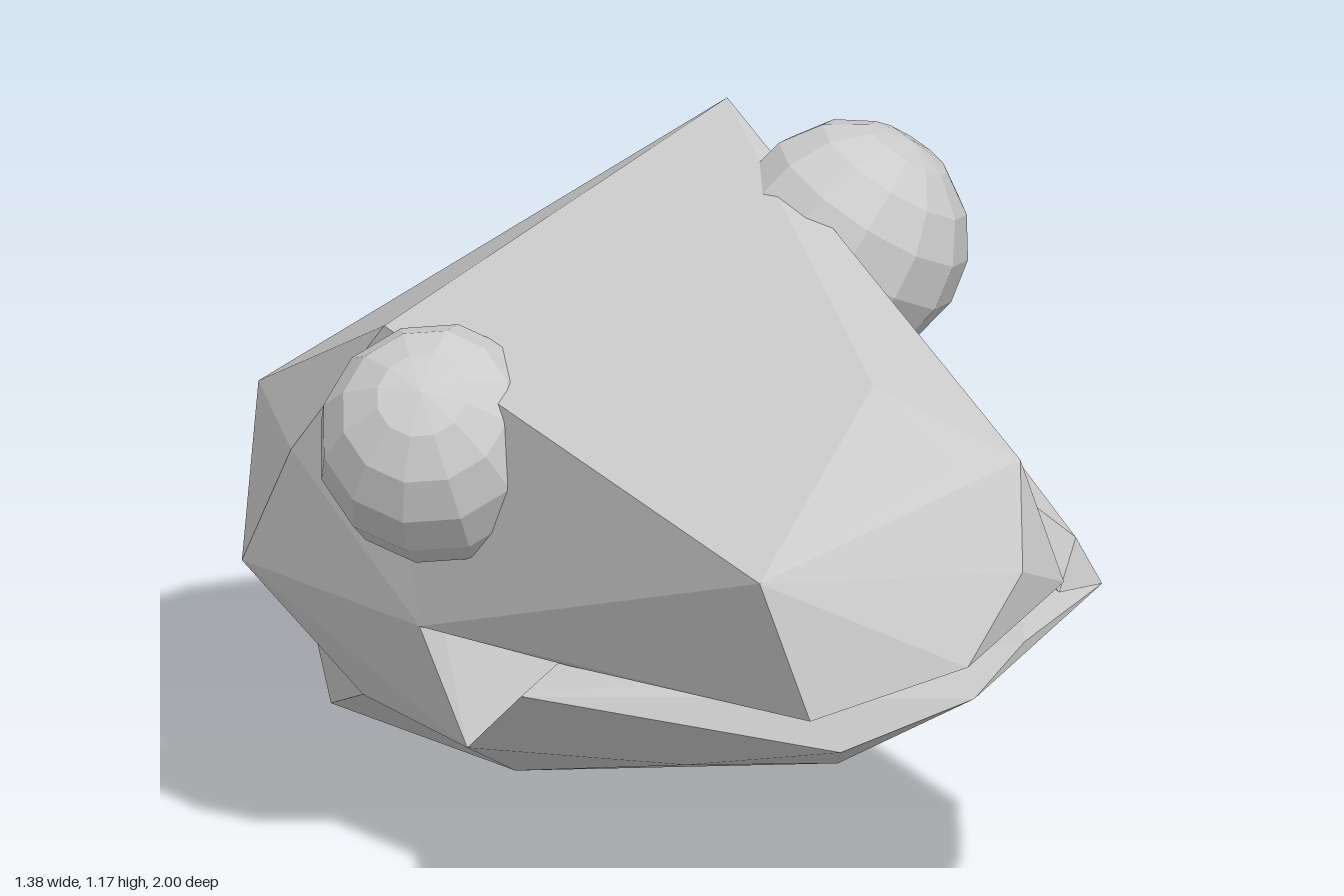
import * as THREE from 'three';
import { ConvexGeometry } from 'three/addons/geometries/ConvexGeometry.js';

const material = new THREE.MeshStandardMaterial({ color: 0xcccccc, flatShading: true });
const v = (x, y, z) => new THREE.Vector3(x, y, z);

// Landmarks of the tilted head, as left (+x) / right (-x) pairs
const brow = [v(0.33, 1.14, -0.11), v(-0.36, 0.9, -0.27)];
const cheek = [v(0.54, 0.69, 0.08), v(-0.42, 0.43, -0.15)];
const mouthCorner = [v(0.28, 0.69, 0.5), v(-0.5, 0.46, 0.22)];
const jawSide = [v(0.23, 0.54, 0.69), v(-0.45, 0.32, 0.42)];
const throat = [v(0.4, 0.32, 0.18), v(-0.17, 0.12, -0.15), v(-0.41, 0.24, -0.06)];

// Landmarks of the neck
const crown = v(0.55, 0.75, -0.64);
const neckSide = v(0.69, 0.48, -0.35);
const neckRight = [v(-0.31, 0.63, -0.5), v(-0.26, 0.4, -0.64)];
const neckEnd = [v(0.24, 0.5, -1), v(0.34, 0.49, -1)];
const neckLow = [v(0.38, 0.22, -0.54), v(-0.3, 0.24, -0.36)];

function faceted(name, points) {
  const mesh = new THREE.Mesh(new ConvexGeometry(points), material);
  mesh.name = name;
  return mesh;
}

// Low-poly eyeball with its pole turned outwards
function eye(name, centre, tilt) {
  const mesh = new THREE.Mesh(new THREE.SphereGeometry(0.195, 12, 8), material);
  mesh.name = name;
  mesh.position.copy(centre);
  mesh.rotation.set(0.45, 0, tilt);
  return mesh;
}

export function createModel() {
  const group = new THREE.Group();
  group.name = 'animalHead';

  // Middle of the skull
  group.add(faceted('skull', [
    ...brow, ...cheek, ...throat, ...neckRight, ...neckLow,
    crown, neckSide, v(0.56, 0.32, -0.38),
  ]));

  // Neck stump: upper and lower halves with a wedge-shaped hollow between
  group.add(faceted('upperNeck', [
    ...brow, ...neckRight, ...neckEnd, crown, neckSide, v(0.42, 0.42, -0.42),
  ]));
  group.add(faceted('lowerNeck', [
    ...neckEnd, ...neckLow, v(0.4, 0.3, -0.48), throat[1], v(0.2, 0, -0.82),
  ]));

  // Snout and upper jaw
  group.add(faceted('upperJaw', [
    ...brow, ...cheek, ...mouthCorner,
    v(-0.28, 0.97, 0.67), v(-0.63, 0.74, 0.58),
    v(-0.33, 0.89, 0.87), v(-0.24, 0.89, 0.94), v(-0.69, 0.76, 0.76),
    v(-0.31, 0.73, 1), v(-0.19, 0.68, 0.99),
    v(-0.44, 0.6, 0.99), v(-0.66, 0.535, 0.84),
  ]));

  // Lower jaw, hinged at the mouth corners
  group.add(faceted('lowerJaw', [
    cheek[0], mouthCorner[0], ...jawSide, ...throat,
    v(-0.6, 0.43, 0.2), v(-0.04, 0.63, 0.95), v(-0.53, 0.44, 0.8),
    v(-0.43, 0.545, 0.995), v(-0.28, 0.6, 0.98), v(-0.41, 0.37, 0.7),
  ]));

  // Lip ridge along the mouth
  group.add(faceted('leftLip', [
    v(-0.19, 0.66, 0.98), v(-0.07, 0.71, 0.92), v(-0.04, 0.63, 0.95),
    mouthCorner[0], v(0.12, 0.74, 0.51), v(0.1, 0.62, 0.6),
  ]));

  // Ridge behind the nostril
  group.add(faceted('nostrilRidge', [
    v(-0.28, 0.97, 0.67), v(0, 1.01, 0.38), v(-0.24, 0.89, 0.94),
    v(-0.33, 0.89, 0.87), v(-0.1, 0.9, 0.5),
  ]));

  group.add(eye('leftEye', v(0.272, 0.976, 0.185), -0.35));
  group.add(eye('rightEye', v(-0.425, 0.75, -0.11), 0.7));
  return group;
}
